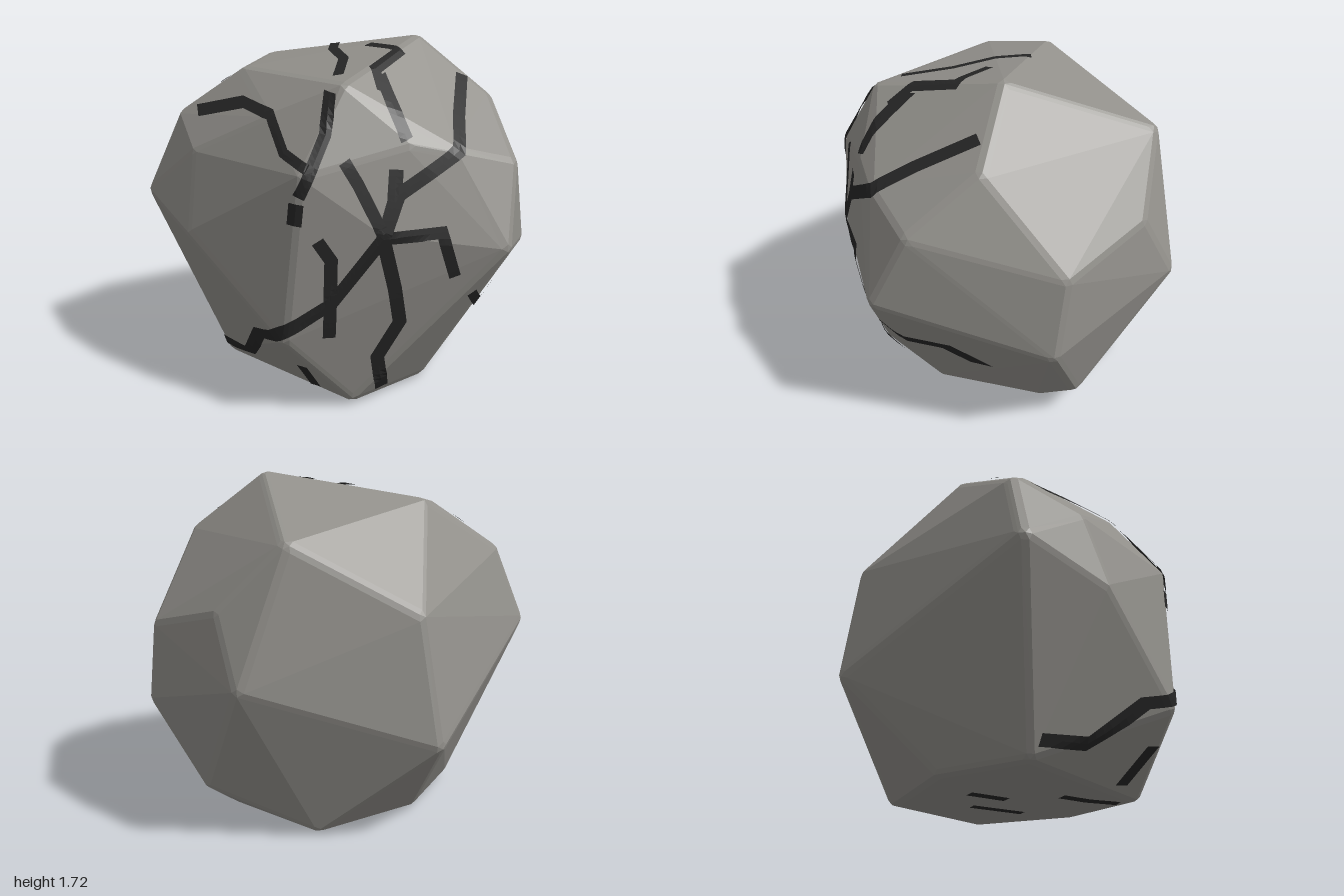
import * as THREE from 'three';
import { ConvexGeometry } from 'three/addons/geometries/ConvexGeometry.js';

const V = (x, y, z) => new THREE.Vector3(x, y, z);

// Corners of the boulder
const CORNERS = [
  // base
  [0.02, 0.032, 0.66], [-0.59, 0.032, 0.04], [-0.29, 0.032, -0.36], [0.25, 0.032, -0.56], [0.6, 0.032, -0.1], [0.38, 0.032, 0.4],
  // lower sides
  [-0.3, 0.39, 0.79], [0.75, 0.18, -0.24], [-0.28, 0.5, -0.83], [1.0, 0.61, -0.08],
  // middle
  [0.74, 0.82, 0.73], [0.15, 0.93, 0.83], [-0.77, 0.81, 0.38], [-1.0, 0.93, -0.03],
  [0.65, 0.8, -0.71], [0.97, 1.01, -0.13], [-0.2, 1.12, -0.77],
  // upper sides
  [0.79, 1.18, 0.56], [0.49, 1.27, 0.69], [0.28, 1.32, 0.73], [-0.22, 1.2, 0.81],
  [-0.74, 1.2, 0.27], [-0.83, 1.32, -0.06], [0.71, 1.13, -0.54],
  // crown
  [0.73, 1.44, 0.22], [0.41, 1.45, -0.65], [-0.36, 1.41, 0.51], [-0.5, 1.56, 0.03], [-0.36, 1.6, -0.27],
  [-0.02, 1.56, 0.64], [0.39, 1.72, 0.07],
].map((c) => V(...c));

// Cracks as flat paths: front in (x, y), top and bottom in (x, z); last entry is the width
const FRONT = [
  [[[0.2, 1.21], [0.19, 1.07], [0.14, 0.91], [0.2, 0.66], [0.23, 0.48], [0.13, 0.29], [0.16, 0.08]], 0.065],
  [[[0.58, 1.54], [0.52, 1.39], [0.49, 1.27], [0.21, 1.1], [0.14, 0.91]], 0.065],
  [[[0.14, 0.91], [0.41, 0.92], [0.48, 0.7]], 0.055],
  [[[0.14, 0.91], [-0.09, 0.6], [-0.33, 0.44], [-0.42, 0.38], [-0.48, 0.15], [-0.62, 0.11]], 0.06],
  [[[-0.15, 0.9], [-0.09, 0.81], [-0.1, 0.42]], 0.06],
  [[[-0.03, 1.25], [0.03, 1.15], [0.14, 0.93]], 0.055],
  [[[-0.08, 1.53], [-0.11, 1.36], [-0.23, 1.1]], 0.05],
  [[[-0.72, 1.35], [-0.48, 1.43], [-0.35, 1.41], [-0.29, 1.27], [-0.17, 1.21]], 0.045],
  [[[-0.24, 1.07], [-0.25, 0.97]], 0.06],
  [[[-0.22, 0.24], [-0.15, 0.06]], 0.05],
  [[[0.57, 0.6], [0.62, 0.51], [0.72, 0.52], [0.71, 0.38]], 0.05],
  [[[0.15, 1.58], [0.18, 1.5], [0.25, 1.33]], 0.055],
];
const TOP = [
  [[[-0.02, -0.12], [-0.04, 0.05], [0, 0.26], [-0.04, 0.51]], 0.05],
  [[[0.13, 0.1], [0.26, 0.27], [0.13, 0.46], [0.15, 0.58]], 0.05],
  [[[-0.6, -0.14], [-0.58, -0.1]], 0.05],
];
const BOTTOM = [
  [[[0.25, 0.11], [0.15, -0.16]], 0.05],
  [[[0, 0], [-0.08, -0.19]], 0.06],
  [[[0.01, 0.56], [-0.02, 0.4], [-0.08, 0.26]], 0.06],
];

// Hull of small balls placed at the corners: flat facets with narrow bevels
function boulderGeometry() {
  const r = 0.06, centre = V(0, 0.85, 0);
  const ball = new THREE.IcosahedronGeometry(r, 1).getAttribute('position');
  const seen = new Map();
  for (let i = 0; i < ball.count; i++) {
    const p = V(0, 0, 0).fromBufferAttribute(ball, i);
    seen.set(p.toArray().map((n) => Math.round(n * 1e4)).join(), p);
  }
  const points = [];
  for (const c of CORNERS) {
    const inner = c.clone().add(centre.clone().sub(c).setLength(r));
    for (const p of seen.values()) points.push(inner.clone().add(p));
  }
  return new ConvexGeometry(points);
}

// Thin ribbon along a flat path, dropped onto the rock in direction dir
function crackGeometry(rock, path, width, dir, toPoint) {
  const pts = path.map((p) => new THREE.Vector2(...p));
  const ray = new THREE.Raycaster();
  const drop = (p) => {
    const start = toPoint(p).addScaledVector(dir, -4);
    ray.set(start, dir);
    const hit = ray.intersectObject(rock)[0];
    return hit ? hit.point.addScaledVector(hit.face.normal, 0.01) : null;
  };
  // sideways vector at each path point, mitred at bends
  const sides = pts.map((p, i) => {
    const a = p.clone().sub(pts[Math.max(i - 1, 0)]).normalize();
    const b = pts[Math.min(i + 1, pts.length - 1)].clone().sub(p).normalize();
    const t = a.clone().add(b).normalize();
    const bend = Math.max(0.6, t.dot(i ? a : b));
    return new THREE.Vector2(-t.y, t.x).multiplyScalar(width / 2 / bend);
  });
  const rows = [];
  for (let i = 0; i < pts.length - 1; i++) {
    const n = Math.max(2, Math.ceil(pts[i].distanceTo(pts[i + 1]) / 0.03));
    for (let k = i ? 1 : 0; k <= n; k++) {
      const mid = pts[i].clone().lerp(pts[i + 1], k / n);
      const side = sides[i].clone().lerp(sides[i + 1], k / n);
      rows.push([-1, 0, 1].map((s) => drop(mid.clone().addScaledVector(side, s))));
    }
  }
  const pos = [];
  const tri = (...t) => { if (t.every(Boolean)) t.forEach((p) => pos.push(p.x, p.y, p.z)); };
  for (let i = 0; i < rows.length - 1; i++) {
    for (let j = 0; j < 2; j++) {
      tri(rows[i][j], rows[i][j + 1], rows[i + 1][j + 1]);
      tri(rows[i][j], rows[i + 1][j + 1], rows[i + 1][j]);
    }
  }
  const geometry = new THREE.BufferGeometry();
  geometry.setAttribute('position', new THREE.Float32BufferAttribute(pos, 3));
  geometry.computeVertexNormals();
  return geometry;
}

export function createModel() {
  const model = new THREE.Group();
  model.name = 'crackedBoulder';

  const rock = new THREE.Mesh(boulderGeometry(),
    new THREE.MeshStandardMaterial({ color: 0x93918c, flatShading: true }));
  rock.name = 'boulder';
  model.add(rock);

  const dark = new THREE.MeshStandardMaterial({ color: 0x262626, flatShading: true, side: THREE.DoubleSide });
  const groups = [
    ['frontCracks', FRONT, V(0, 0, -1), (p) => V(p.x, p.y, 0)],
    ['topCracks', TOP, V(0, -1, 0), (p) => V(p.x, 0, p.y)],
    ['bottomCracks', BOTTOM, V(0, 1, 0), (p) => V(p.x, 0, p.y)],
  ];
  for (const [name, list, dir, toPoint] of groups) {
    const group = new THREE.Group();
    group.name = name;
    for (const [path, width] of list) {
      const crack = new THREE.Mesh(crackGeometry(rock, path, width, dir, toPoint), dark);
      crack.name = 'crack';
      group.add(crack);
    }
    model.add(group);
  }
  return model;
}
